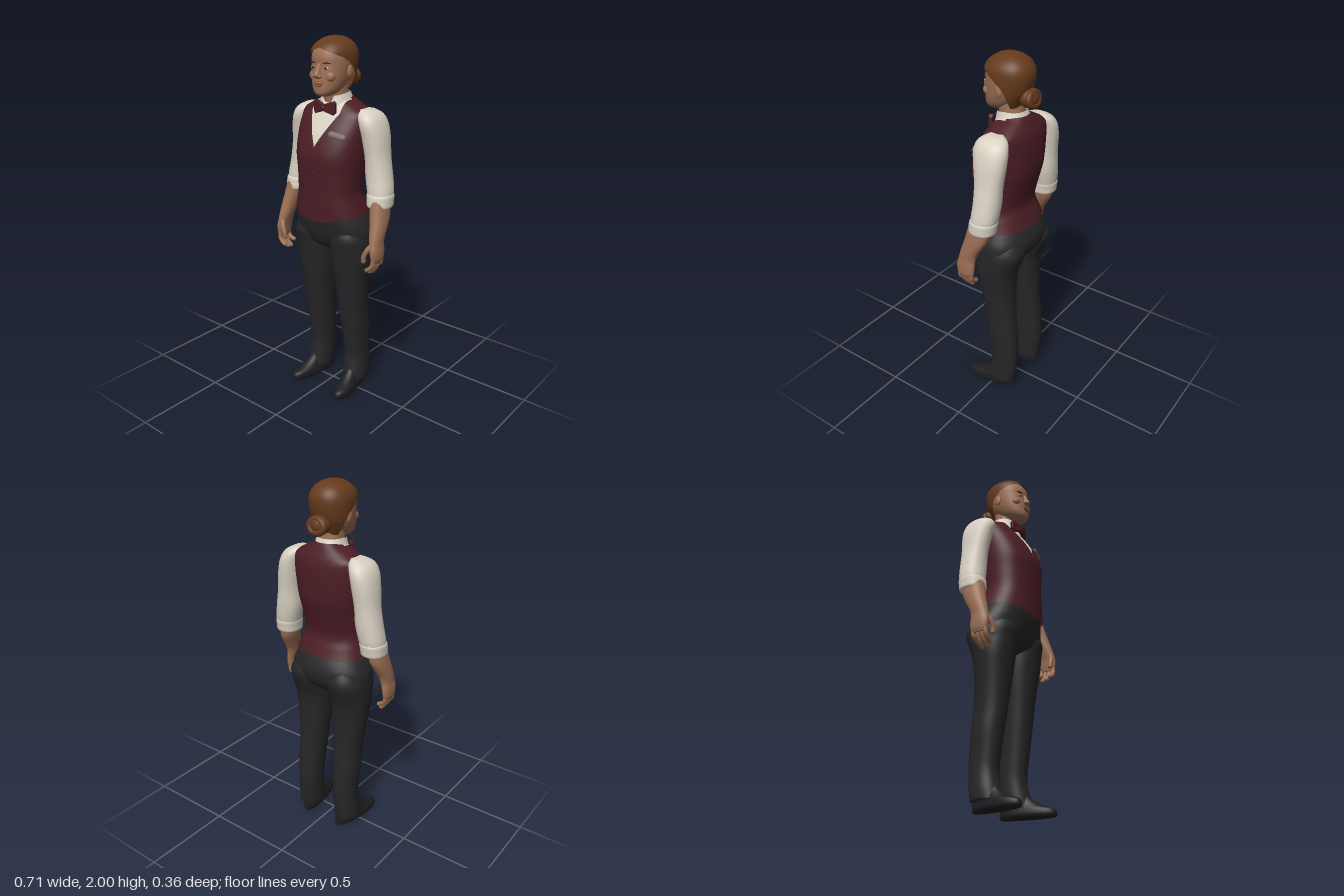
import * as THREE from 'three';

const mat = (name, color, side = THREE.FrontSide) => {
  const m = new THREE.MeshStandardMaterial({ color, side });
  m.name = name;
  return m;
};

// Smoothly interpolated row of a section list: [y, cx, rx, zFront, zBack]
function rowAt(rows, s) {
  const i = Math.min(Math.floor(s), rows.length - 2), t = s - i;
  const r = (k) => rows[Math.max(0, Math.min(rows.length - 1, k))];
  return rows[0].map((_, c) => {
    const a = r(i - 1)[c], b = r(i)[c], d = r(i + 1)[c], e = r(i + 2)[c];
    const m0 = (d - a) / 2, m1 = (e - b) / 2, t2 = t * t, t3 = t2 * t;
    return (2 * t3 - 3 * t2 + 1) * b + (t3 - 2 * t2 + t) * m0 + (3 * t2 - 2 * t3) * d + (t3 - t2) * m1;
  });
}

// Skin over rounded horizontal sections (bottom to top). "gap" opens the front by a
// half angle, "dip" shifts points vertically; without a gap both ends are capped.
function loft(rows, { n = 2.2, sub = 5, segs = 40, gap = null, dip = null, grow = 0 } = {}) {
  rows = [...rows].sort((a, b) => a[0] - b[0]);
  const pos = [], idx = [], count = (rows.length - 1) * sub, cols = gap ? segs + 1 : segs;
  const pw = (v) => Math.sign(v) * Math.pow(Math.abs(v), 2 / n);
  for (let i = 0; i <= count; i++) {
    const [y, cx, rx0, zf, zb] = rowAt(rows, i / sub);
    const rx = Math.max(0.001, rx0 + grow), rz = Math.max(0.001, (zf - zb) / 2 + grow);
    const g = gap ? gap(y, rx) : 0;
    for (let j = 0; j < cols; j++) {
      const a = g + (j / segs) * (Math.PI - g) * 2;
      pos.push(cx + rx * pw(Math.sin(a)), y + (dip ? dip(y, a) : 0), (zf + zb) / 2 + rz * pw(Math.cos(a)));
    }
  }
  for (let i = 0; i < count; i++) for (let j = 0; j < segs; j++) {
    const k = (j + 1) % cols, a = i * cols + j, b = i * cols + k;
    idx.push(a, b, b + cols, a, b + cols, a + cols);
  }
  if (!gap) {
    for (const i of [0, count]) {
      const [y, cx, , zf, zb] = rowAt(rows, i / sub), c = pos.length / 3;
      pos.push(cx, y, (zf + zb) / 2);
      for (let j = 0; j < segs; j++) {
        const a = i * cols + j, b = i * cols + (j + 1) % cols;
        if (i) idx.push(a, b, c); else idx.push(b, a, c);
      }
    }
  }
  const geo = new THREE.BufferGeometry();
  geo.setAttribute('position', new THREE.Float32BufferAttribute(pos, 3));
  geo.setIndex(idx);
  geo.computeVertexNormals();
  return geo;
}

export function createModel() {
  const model = new THREE.Group();
  const DS = THREE.DoubleSide;
  const vest = mat('burgundy cloth', 0x4b1d24, DS), shirt = mat('cream cotton', 0xd9d1c3, DS);
  const trouser = mat('black cloth', 0x262628), shoe = mat('black leather', 0x1d1d1f);
  const skin = mat('skin', 0x9c6f54), hair = mat('auburn hair', 0x653a1c, DS);
  const lip = mat('lips', 0x85503f), tag = mat('grey tag', 0x76655f);
  const white = mat('eye white', 0xb5a89c), dark = mat('dark brown', 0x2e1c14);

  const add = (name, geo, m, parent = model) => {
    const mesh = new THREE.Mesh(geo, m);
    mesh.name = name;
    parent.add(mesh);
    return mesh;
  };
  const blob = (name, m, p, s) => {
    const mesh = add(name, new THREE.SphereGeometry(1, 24, 16), m);
    mesh.position.set(...p);
    mesh.scale.set(...s);
    return mesh;
  };
  const lerpTable = (table, y) => {
    for (let i = 1; i < table.length; i++) if (y <= table[i][0]) {
      const [y0, g0] = table[i - 1], [y1, g1] = table[i];
      return g0 + (g1 - g0) * Math.max(0, (y - y0) / (y1 - y0));
    }
    return table[table.length - 1][1];
  };

  // Torso: shirt underneath, waistcoat with a V neck and pointed hem on top
  const torso = [
    [1.08, 0, 0.212, 0.165, -0.157], [1.13, 0, 0.196, 0.167, -0.138], [1.2, 0, 0.178, 0.168, -0.117],
    [1.3, 0, 0.183, 0.17, -0.138], [1.4, 0, 0.195, 0.172, -0.163], [1.5, 0, 0.204, 0.14, -0.167],
    [1.58, 0, 0.206, 0.095, -0.162], [1.62, 0, 0.198, 0.068, -0.152], [1.65, 0, 0.15, 0.052, -0.138],
    [1.68, 0, 0.092, 0.035, -0.122], [1.695, 0, 0.068, 0.025, -0.112],
  ];
  const vGap = (y, rx) => {
    const w = 0.092 * Math.min(1, Math.max(0, (y - 1.45) / 0.17));
    return Math.asin(Math.min(1, Math.pow(w / rx, 1.2)));
  };
  const hem = (y, a) => -0.035 * Math.pow(Math.max(0, Math.cos(a)), 5) * Math.max(0, (1.2 - y) / 0.12);
  add('shirtBody', loft(torso.slice(3), { n: 2.4, sub: 8, grow: -0.006 }), shirt);
  add('waistcoat', loft(torso, { n: 2.4, sub: 8, segs: 64, gap: vGap, dip: hem }), vest);
  for (let i = 0; i < 4; i++)
    blob('button', vest, [0.006, 1.15 + i * 0.08, 0.168 + 0.003 * Math.min(i, 2)], [0.008, 0.008, 0.004]);
  const badge = add('chestTag', new THREE.CapsuleGeometry(0.017, 0.065, 4, 12).rotateZ(Math.PI / 2).scale(1, 1, 0.5), tag);
  badge.position.set(0.12, 1.517, 0.119);
  badge.rotation.set(-0.45, 0.3, -0.06);

  // Neck, collar and bow tie
  add('neck', loft([[1.62, 0, 0.068, 0.03, -0.11], [1.7, 0, 0.063, 0.045, -0.09], [1.77, 0, 0.062, 0.05, -0.085]]), skin);
  add('collar', loft([[1.63, 0, 0.105, 0.07, -0.125], [1.67, 0, 0.088, 0.06, -0.117], [1.715, 0, 0.072, 0.052, -0.1]],
    { gap: (y) => Math.max(0, (y - 1.64) * 7), dip: (y, a) => -0.015 * Math.max(0, Math.cos(a)) }), shirt);
  const bow = new THREE.Group();
  bow.name = 'bowTie';
  bow.position.set(0, 1.643, 0.082);
  model.add(bow);
  for (const s of [1, -1]) {
    const w = new THREE.Shape([[0, -0.014], [0.06, -0.034], [0.07, -0.02], [0.07, 0.022], [0.06, 0.034], [0, 0.014]]
      .map(([x, y]) => new THREE.Vector2(x, y)));
    const wing = add('bowWing', new THREE.ExtrudeGeometry(w, { depth: 0.014, bevelSize: 0.002, bevelThickness: 0.004, bevelSegments: 2 })
      .translate(0, 0, -0.007), vest, bow);
    wing.rotation.y = s > 0 ? 0.25 : Math.PI - 0.25;
  }
  add('bowKnot', new THREE.SphereGeometry(1, 16, 12).scale(0.015, 0.018, 0.014), vest, bow);

  // Hips
  add('hips', loft([
    [0.85, 0, 0.09, 0.03, -0.08], [0.89, 0, 0.19, 0.095, -0.135], [0.94, 0, 0.234, 0.124, -0.168], [1.0, 0, 0.233, 0.14, -0.177],
    [1.06, 0, 0.208, 0.15, -0.158], [1.12, 0, 0.18, 0.15, -0.125]], { n: 2.3 }), trouser);

  for (const s of [1, -1]) {
    const mirror = (rows) => rows.map(([y, cx, ...r]) => [y, cx * s, ...r]);
    const side = s > 0 ? 'left' : 'right';

    // Trouser leg and shoe
    add(side + 'Leg', loft(mirror([
      [0.05, 0.133, 0.064, 0.045, -0.13], [0.1, 0.132, 0.066, 0.032, -0.136], [0.2, 0.127, 0.065, 0.016, -0.145],
      [0.3, 0.126, 0.068, 0.028, -0.143], [0.4, 0.126, 0.074, 0.042, -0.135], [0.5, 0.122, 0.077, 0.057, -0.124],
      [0.6, 0.121, 0.085, 0.07, -0.119], [0.7, 0.121, 0.097, 0.085, -0.117], [0.8, 0.123, 0.11, 0.1, -0.126],
      [0.88, 0.122, 0.115, 0.112, -0.155], [0.95, 0.12, 0.116, 0.122, -0.174], [1.02, 0.11, 0.095, 0.1, -0.15]])), trouser);
    const foot = add(side + 'Shoe', loft([
      [0, 0, 0.045, 0.225, -0.08], [0.015, 0, 0.053, 0.231, -0.084], [0.04, 0, 0.051, 0.218, -0.083],
      [0.065, 0, 0.046, 0.15, -0.08], [0.095, 0, 0.042, 0.1, -0.07], [0.13, 0, 0.04, 0.07, -0.06]]), shoe);
    foot.position.set(s * 0.128, 0, -0.05);
    foot.rotation.y = s * 0.16;

    // Sleeve with rolled cuff
    add(side + 'Sleeve', loft(mirror([
      [1.16, 0.285, 0.06, 0.022, -0.105], [1.22, 0.279, 0.069, 0.021, -0.121], [1.3, 0.264, 0.07, 0.016, -0.13],
      [1.4, 0.252, 0.063, 0.018, -0.135], [1.5, 0.239, 0.064, 0.032, -0.146], [1.57, 0.224, 0.062, 0.042, -0.147],
      [1.615, 0.205, 0.055, 0.028, -0.13], [1.64, 0.185, 0.03, -0.01, -0.095]])), shirt);
    add(side + 'Cuff', loft(mirror([
      [1.135, 0.286, 0.056, 0.024, -0.1], [1.143, 0.286, 0.066, 0.033, -0.112], [1.17, 0.285, 0.068, 0.032, -0.116],
      [1.2, 0.283, 0.07, 0.028, -0.12], [1.208, 0.282, 0.064, 0.018, -0.112]]), { sub: 3 }), shirt);

    // Forearm, palm, fingers and thumb
    add(side + 'Forearm', loft(mirror([
      [0.855, 0.333, 0.014, 0.085, 0.005], [0.88, 0.334, 0.021, 0.094, -0.008], [0.92, 0.332, 0.025, 0.098, -0.012],
      [0.96, 0.325, 0.029, 0.09, -0.013], [1.0, 0.32, 0.035, 0.079, -0.025], [1.05, 0.313, 0.041, 0.064, -0.055],
      [1.1, 0.304, 0.046, 0.05, -0.08], [1.18, 0.292, 0.048, 0.03, -0.09]])), skin);
    const digit = (name, pts, r) => {
      const v = pts.map(([x, y, z]) => new THREE.Vector3(x * s, y, z));
      add(name, new THREE.TubeGeometry(new THREE.CatmullRomCurve3(v), 10, r, 10), skin);
      blob(name + 'Tip', skin, v[v.length - 1].toArray(), [r, r, r]);
    };
    [0.03, 0, 0.005, 0.02].forEach((lift, i) => {
      const z = 0.005 + i * 0.025;
      digit(side + 'Finger', [[0.334, 0.89, z], [0.33, 0.845, z + 0.003], [0.314, 0.812 + lift * 0.6, z + 0.004],
        [0.296, 0.792 + lift, z + 0.002]], 0.0125);
    });
    digit(side + 'Thumb', [[0.32, 0.96, 0.07], [0.3, 0.925, 0.09], [0.285, 0.89, 0.096], [0.282, 0.865, 0.094]], 0.0135);

    // Ear, eye and brow
    blob(side + 'Ear', skin, [s * 0.1, 1.825, -0.012], [0.011, 0.033, 0.02]);
    blob(side + 'Eye', white, [s * 0.042, 1.847, 0.107], [0.016, 0.007, 0.006]);
    blob(side + 'Iris', dark, [s * 0.041, 1.847, 0.111], [0.007, 0.0065, 0.004]);
    blob(side + 'Brow', dark, [s * 0.044, 1.872, 0.108], [0.021, 0.0035, 0.006]).rotation.y = s * 0.3;
    blob(side + 'Cheek', skin, [s * 0.05, 1.805, 0.088], [0.03, 0.028, 0.025]);
    blob(side + 'Nostril', skin, [s * 0.014, 1.806, 0.126], [0.01, 0.009, 0.011]);
  }

  // Head, nose and mouth
  add('head', loft([
    [1.702, 0, 0.025, 0.1, 0.03], [1.715, 0, 0.05, 0.119, 0], [1.74, 0, 0.072, 0.124, -0.04], [1.78, 0, 0.088, 0.123, -0.08],
    [1.82, 0, 0.096, 0.12, -0.1], [1.86, 0, 0.101, 0.116, -0.115], [1.9, 0, 0.101, 0.116, -0.12],
    [1.94, 0, 0.09, 0.1, -0.11], [1.97, 0, 0.06, 0.06, -0.08], [1.985, 0, 0.02, 0.01, -0.04]]), skin);
  add('nose', loft([
    [1.793, 0, 0.01, 0.122, 0.09], [1.803, 0, 0.018, 0.143, 0.09], [1.815, 0, 0.017, 0.149, 0.09],
    [1.84, 0, 0.012, 0.134, 0.09], [1.87, 0, 0.01, 0.118, 0.09]], { segs: 20 }), skin);
  blob('upperLip', lip, [0, 1.769, 0.12], [0.029, 0.005, 0.011]);
  blob('lowerLip', lip, [0, 1.759, 0.12], [0.024, 0.006, 0.011]);

  // Swept-back hair with a low bun
  const hairline = [[1.73, 2.25], [1.78, 2.0], [1.84, 1.72], [1.88, 1.4], [1.9, 1.15], [1.925, 0.6], [1.945, 0]];
  add('hair', loft([
    [1.735, 0, 0.078, 0.06, -0.08], [1.78, 0, 0.1, 0.085, -0.105], [1.82, 0, 0.109, 0.105, -0.127],
    [1.88, 0, 0.114, 0.12, -0.14], [1.925, 0, 0.111, 0.119, -0.137], [1.96, 0, 0.092, 0.094, -0.117],
    [1.985, 0, 0.06, 0.056, -0.083], [1.996, 0, 0.03, 0.022, -0.05], [2, 0, 0.001, -0.012, -0.014]],
    { gap: (y) => lerpTable(hairline, y), sub: 7, segs: 56 }), hair);
  blob('bun', hair, [0, 1.79, -0.124], [0.058, 0.05, 0.046]);
  const twist = add('bunTwist', new THREE.TorusGeometry(0.036, 0.018, 12, 28).scale(1.15, 0.95, 1), hair);
  twist.position.set(0, 1.788, -0.148);
  twist.rotation.x = 0.15;

  return model;
}
